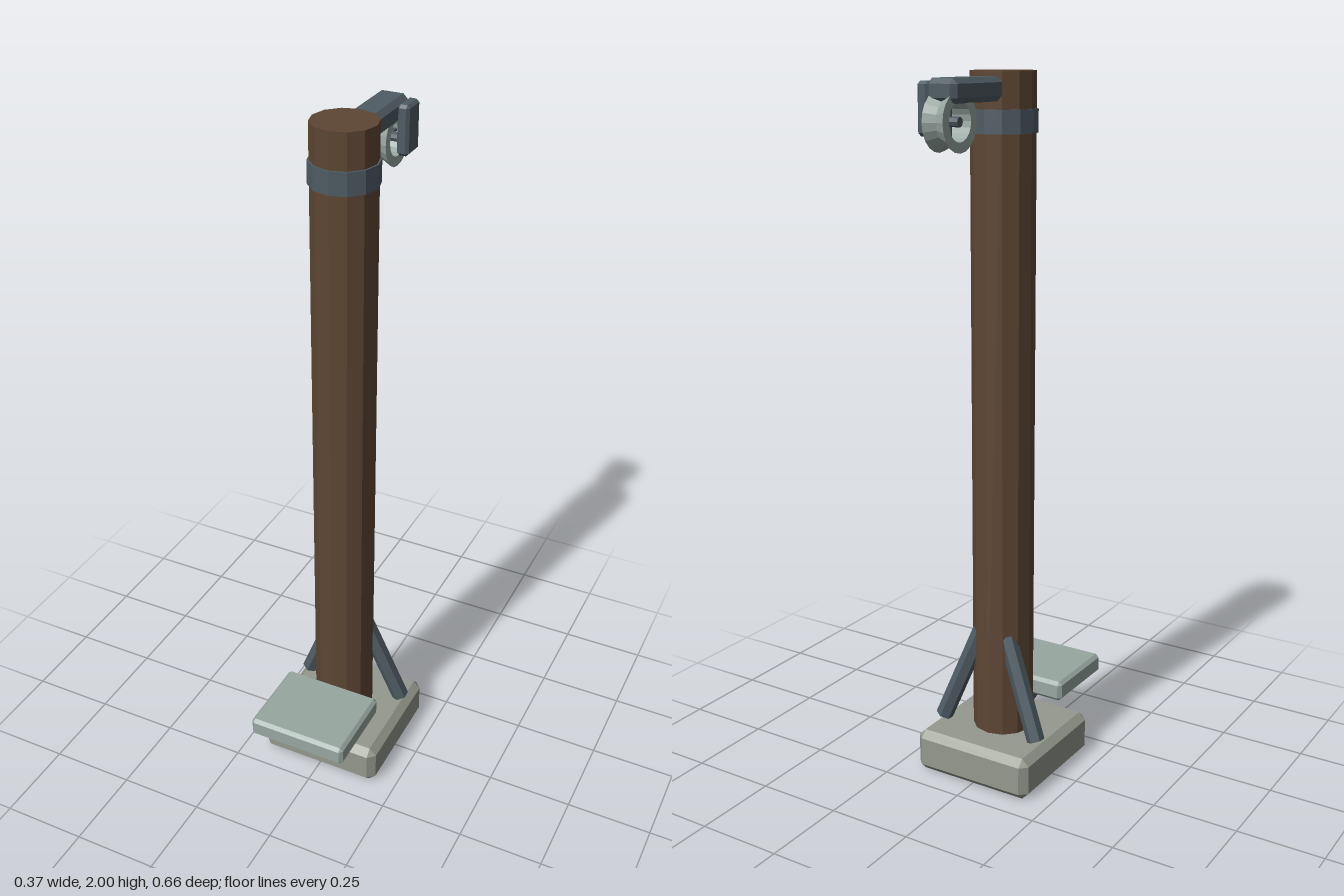
import * as THREE from 'three';
import { ConvexGeometry } from 'three/addons/geometries/ConvexGeometry.js';

const material = (color, extra = {}) => new THREE.MeshStandardMaterial({ color, flatShading: true, ...extra });

// Box with every edge cut at 45 degrees
function chamferBox(w, h, d, c) {
  const points = [];
  for (const x of [-1, 1]) for (const y of [-1, 1]) for (const z of [-1, 1]) {
    for (let axis = 0; axis < 3; axis++) {
      const inset = [0, 1, 2].map((i) => (i === axis ? 0 : c));
      points.push(new THREE.Vector3(
        x * (w / 2 - inset[0]), y * (h / 2 - inset[1]), z * (d / 2 - inset[2])));
    }
  }
  return new ConvexGeometry(points);
}

// Straight rod between two points
function rod(a, b, radius, sides, mat) {
  const start = new THREE.Vector3(...a), end = new THREE.Vector3(...b);
  const dir = end.clone().sub(start);
  const mesh = new THREE.Mesh(new THREE.CylinderGeometry(radius, radius, dir.length(), sides), mat);
  mesh.position.copy(start).add(end).multiplyScalar(0.5);
  mesh.quaternion.setFromUnitVectors(new THREE.Vector3(0, 1, 0), dir.normalize());
  return mesh;
}

export function createModel() {
  const group = new THREE.Group();
  const wood = material(0x5d4634);
  const stone = material(0x95998e);
  const iron = material(0x4f5c64);
  const pale = material(0x98a7a1);

  function add(name, object, x, y, z, parent = group) {
    object.name = name;
    if (x !== undefined) object.position.set(x, y, z);
    parent.add(object);
    return object;
  }

  // Base, post and collar
  add('base', new THREE.Mesh(chamferBox(0.374, 0.126, 0.374, 0.021), stone), 0, 0.063, 0);
  add('post', new THREE.Mesh(new THREE.CylinderGeometry(0.088, 0.088, 1.89, 12), wood), 0, 1.055, 0);
  add('collar', new THREE.Mesh(new THREE.CylinderGeometry(0.093, 0.093, 0.062, 12), iron), 0, 1.872, 0);

  // Front step and its strut
  add('step', new THREE.Mesh(chamferBox(0.3, 0.06, 0.25, 0.01), pale), 0, 0.222, 0.202);
  add('stepStrut', rod([0, 0.125, 0.06], [0, 0.188, 0.238], 0.026, 6, iron));

  // Slanted side braces
  for (const [side, name] of [[1, 'leftBrace'], [-1, 'rightBrace']]) {
    add(name, rod([side * 0.158, 0.14, -0.077], [side * 0.044, 0.428, -0.048], 0.026, 6, iron));
  }

  // Rear arm with the pulley hanger on one side
  add('arm', new THREE.Mesh(chamferBox(0.088, 0.062, 0.255, 0.014), iron), 0, 1.955, -0.168);
  add('pulleyHanger', new THREE.Mesh(chamferBox(0.034, 0.134, 0.074, 0.008), iron), 0.058, 1.911, -0.252);

  // Pulley: V-grooved rim turning about the x axis
  const pulley = add('pulley', new THREE.Group(), 0, 1.88, -0.252);
  const profile = [[0.05, -0.031], [0.077, -0.031], [0.061, 0], [0.077, 0.031], [0.05, 0.031], [0.05, -0.031]];
  const rim = new THREE.Mesh(
    new THREE.LatheGeometry(profile.map(([r, y]) => new THREE.Vector2(r, y)), 20),
    material(0x98a7a1, { side: THREE.DoubleSide }));
  rim.rotation.z = Math.PI / 2;
  add('pulleyRim', rim, 0, 0, 0, pulley);

  // Axle and crossed spokes
  add('axle', rod([-0.031, 0, 0], [0.05, 0, 0], 0.013, 8, iron), undefined, 0, 0, pulley);
  add('uprightSpoke', rod([0, -0.056, 0], [0, 0.056, 0], 0.006, 6, iron), undefined, 0, 0, pulley);
  add('levelSpoke', rod([0, 0, -0.056], [0, 0, 0.056], 0.006, 6, iron), undefined, 0, 0, pulley);

  return group;
}
